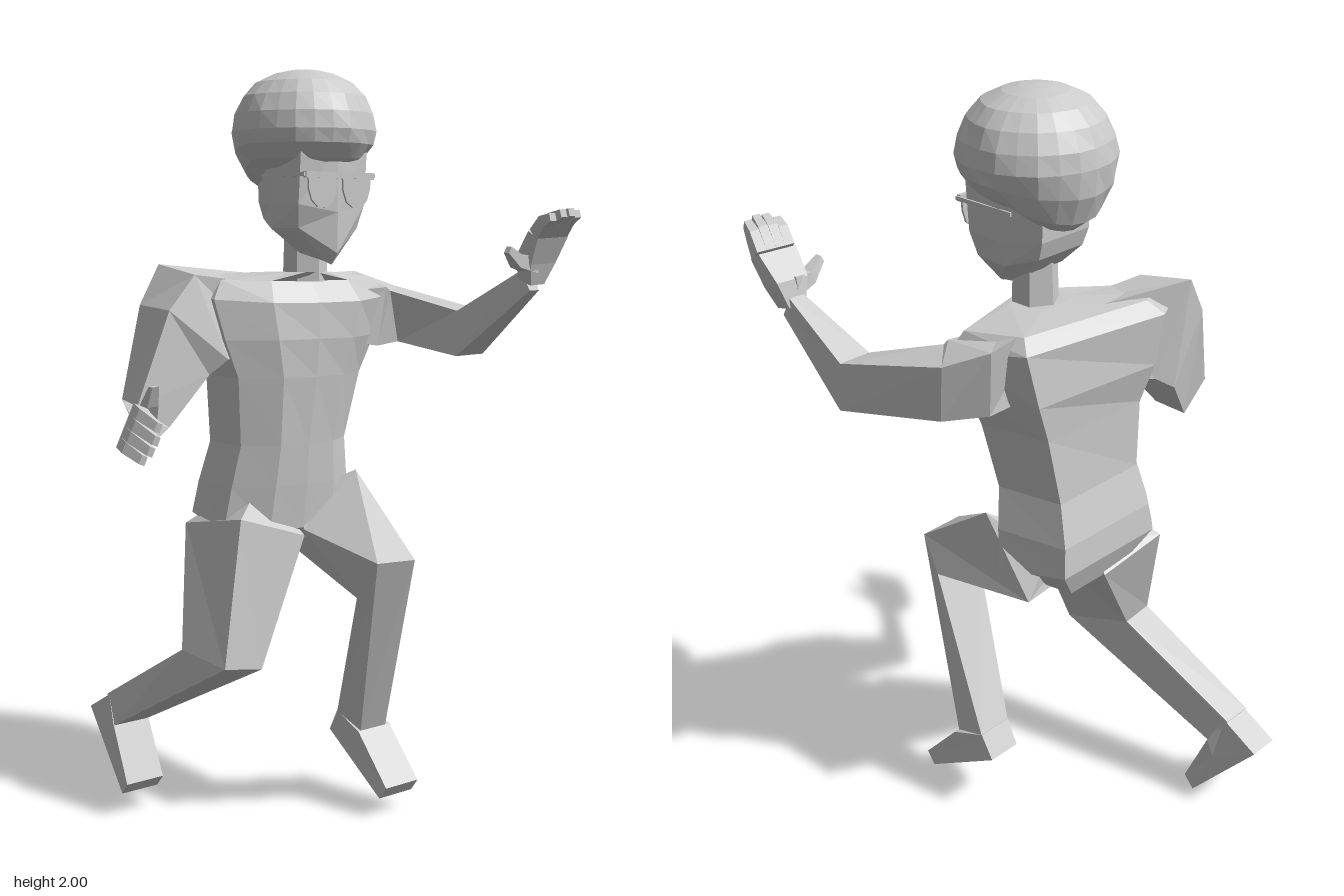
import * as THREE from 'three';

const grey = new THREE.MeshStandardMaterial({ color: 0xcccccc, flatShading: true });

function mesh(name, geometry) {
  const m = new THREE.Mesh(geometry, grey);
  m.name = name;
  return m;
}

// Closed skin through cross-sections of equal point count, always facing outward.
function loft(name, rings) {
  const n = rings[0].length, pos = rings.flat(2), idx = [];
  rings.slice(1).forEach((_, r) => {
    for (let i = 0; i < n; i++) {
      const a = r * n + i, b = r * n + (i + 1) % n;
      idx.push(a, b, b + n, a, b + n, a + n);
    }
  });
  [0, rings.length - 1].forEach((r, end) => {
    const c = pos.length / 3;
    for (let k = 0; k < 3; k++) pos.push(rings[r].reduce((s, p) => s + p[k], 0) / n);
    for (let i = 0; i < n; i++) {
      const a = r * n + i, b = r * n + (i + 1) % n;
      idx.push(c, end ? a : b, end ? b : a);
    }
  });
  const v = i => new THREE.Vector3().fromArray(pos, i * 3);
  let volume = 0;
  for (let i = 0; i < idx.length; i += 3) volume += v(idx[i]).dot(v(idx[i + 1]).cross(v(idx[i + 2])));
  if (volume < 0) idx.reverse();
  const g = new THREE.BufferGeometry();
  g.setAttribute('position', new THREE.Float32BufferAttribute(pos, 3));
  g.setIndex(idx);
  g.computeVertexNormals();
  return mesh(name, g);
}

// Square-section bar along a path; side gives the direction of its width.
function bar(name, path, side, widths, thick) {
  const P = path.map(p => new THREE.Vector3(...p));
  return loft(name, P.map((p, i) => {
    const dir = P[Math.min(i + 1, P.length - 1)].clone().sub(P[Math.max(i - 1, 0)]);
    const s = new THREE.Vector3(...side).normalize();
    const n = s.clone().cross(dir).normalize();
    return [[1, 1], [-1, 1], [-1, -1], [1, -1]].map(([a, b]) =>
      p.clone().addScaledVector(s, a * widths[i]).addScaledVector(n, b * thick[i]).toArray());
  }));
}

const add = (a, b, k = 1) => a.map((v, i) => v + b[i] * k);

// Palm, four bent fingers and a thumb.
function hand(name, palm, side, bend, curl, thumb) {
  const g = new THREE.Group();
  g.name = name;
  g.add(bar('palm', palm, side, [0.025, 0.046, 0.056], [0.023, 0.028, 0.019]));
  for (let i = 0; i < 4; i++) {
    const base = add(palm[2], side, 0.042 - 0.028 * i);
    const reach = [0.9, 1, 0.97, 0.82][i];
    const mid = add(base, bend, reach);
    g.add(bar('finger', [base, mid, add(mid, curl, reach)], side, [0.014, 0.0135, 0.011], [0.018, 0.016, 0.01]));
  }
  g.add(bar('thumb', thumb, [0, 0, 1], [0.026, 0.018, 0.009], [0.026, 0.016, 0.009]));
  return g;
}

// Foot: a side profile of [z, y, x0, x1] points, x0 and x1 giving its width there.
const foot = (name, profile) => loft(name, [2, 3].map(k => profile.map(p => [p[k], p[1], p[0]])));

export function createModel() {
  const model = new THREE.Group();
  model.name = 'figure';

  // Torso: octagonal sections [xMin, xMax, y, zBack, zFront, twist, forward slope]
  const oct = [[1, 0.45], [0.5, 0.93], [0, 1], [-0.5, 0.93], [-1, 0.45], [-1, -0.7], [-0.8, -1], [0.8, -1]];
  model.add(loft('torso', [
    [0.0, 0.24, 0.75, -0.23, -0.04, 0, 0],
    [-0.108, 0.315, 0.81, -0.26, 0.0, 0, 0.02],
    [-0.09, 0.305, 0.91, -0.255, 0.012, 0, 0],
    [-0.07, 0.285, 1.02, -0.225, 0.02, 0, 0],
    [-0.08, 0.32, 1.2, -0.22, 0.035, 0.04, 0],
    [-0.11, 0.36, 1.3, -0.235, 0.04, 0.1, 0],
    [-0.13, 0.39, 1.415, -0.235, 0.035, 0.16, 0.02],
    [-0.1, 0.36, 1.46, -0.2, 0.0, 0.16, 0.008],
    [0.06, 0.2, 1.475, -0.1, 0.02, 0, 0],
  ].map(([x0, x1, y, z0, z1, twist, slope]) => oct.map(([u, w]) => {
    const dx = u * (x1 - x0) / 2;
    return [(x0 + x1) / 2 + dx, y - slope * w, (z0 + z1) / 2 + w * (z1 - z0) / 2 + twist * dx];
  }))));

  // Arms
  model.add(loft('rightArm', [
    [[0.02, 1.27, -0.19], [0.02, 1.28, -0.06], [0.05, 1.44, -0.05], [0.05, 1.47, -0.17]],
    [[-0.1, 1.24, -0.225], [-0.1, 1.25, -0.06], [-0.17, 1.47, -0.11], [-0.18, 1.495, -0.265]],
    [[-0.16, 1.2, -0.24], [-0.14, 1.21, -0.09], [-0.25, 1.38, -0.11], [-0.25, 1.39, -0.25]],
    [[-0.27, 1.07, -0.19], [-0.26, 1.08, -0.1], [-0.35, 1.14, -0.11], [-0.34, 1.15, -0.2]],
    [[-0.43, 1.065, 0.04], [-0.42, 1.07, 0.07], [-0.43, 1.12, 0.07], [-0.455, 1.12, 0.04]],
  ]));
  model.add(loft('leftArm', [
    [[0.24, 1.29, -0.14], [0.24, 1.29, -0.02], [0.21, 1.42, 0.0], [0.21, 1.465, -0.13]],
    [[0.39, 1.28, -0.13], [0.36, 1.27, 0.005], [0.38, 1.43, 0.015], [0.43, 1.47, -0.18]],
    [[0.50, 1.29, -0.08], [0.42, 1.28, 0.02], [0.39, 1.42, 0.02], [0.50, 1.43, -0.09]],
    [[0.57, 1.25, 0.2], [0.45, 1.25, 0.22], [0.47, 1.37, 0.2], [0.56, 1.37, 0.2]],
    [[0.55, 1.43, 0.42], [0.505, 1.43, 0.43], [0.505, 1.48, 0.395], [0.55, 1.48, 0.39]],
  ]));
  model.add(hand('rightHand',
    [[-0.435, 1.09, 0.05], [-0.485, 1.108, 0.09], [-0.53, 1.125, 0.15]], [0.38, 0.92, 0.1],
    [-0.025, -0.005, 0.06], [0.008, -0.025, 0.06],
    [[-0.465, 1.12, 0.09], [-0.47, 1.17, 0.13], [-0.475, 1.22, 0.16]]));
  model.add(hand('leftHand',
    [[0.53, 1.45, 0.41], [0.53, 1.51, 0.425], [0.53, 1.575, 0.465]], [1, 0.05, 0],
    [-0.02, 0.04, 0.05], [-0.025, 0.013, 0.055],
    [[0.52, 1.5, 0.42], [0.46, 1.505, 0.425], [0.41, 1.535, 0.44]]));

  // Legs: sections run outer front, inner front, inner back, outer back
  model.add(loft('leftLeg', [
    [[0.24, 0.9, -0.05], [0.13, 0.83, -0.05], [0.14, 0.81, -0.15], [0.25, 0.85, -0.18]],
    [[0.292, 0.93, -0.005], [0.1, 0.785, 0.01], [0.13, 0.75, -0.16], [0.33, 0.76, -0.19]],
    [[0.25, 0.73, 0.285], [0.125, 0.735, 0.28], [0.15, 0.62, 0.17], [0.3, 0.67, 0.18]],
    [[0.33, 0.21, 0.085], [0.24, 0.21, 0.085], [0.235, 0.245, -0.01], [0.335, 0.245, -0.01]],
  ]));
  model.add(loft('rightLeg', [
    [[-0.03, 0.88, -0.05], [0.08, 0.83, -0.05], [0.08, 0.82, -0.18], [-0.03, 0.86, -0.18]],
    [[-0.105, 0.835, 0.0], [0.1, 0.77, 0.01], [0.1, 0.755, -0.24], [-0.11, 0.79, -0.25]],
    [[-0.18, 0.45, 0.03], [-0.06, 0.43, 0.03], [-0.1, 0.47, -0.15], [-0.2, 0.47, -0.14]],
    [[-0.24, 0.19, -0.43], [-0.13, 0.19, -0.43], [-0.145, 0.27, -0.48], [-0.23, 0.27, -0.48]],
  ]));
  model.add(foot('leftFoot', [[-0.01, 0.25, 0.235, 0.335], [-0.048, 0.185, 0.24, 0.335],
    [0.18, 0.05, 0.228, 0.345], [0.205, 0.085, 0.23, 0.345], [0.088, 0.215, 0.23, 0.345]]));
  model.add(foot('rightFoot', [[-0.47, 0.27, -0.23, -0.145], [-0.575, 0.21, -0.23, -0.145],
    [-0.39, 0.0, -0.24, -0.122], [-0.36, 0.035, -0.242, -0.122], [-0.43, 0.195, -0.242, -0.125]]));

  // Head parts are built around the head's own middle line
  const head = new THREE.Group();
  head.name = 'head';
  head.position.x = 0.135;
  model.add(head);

  // Face: half-sections from front centre to back, mirrored
  head.add(loft('face', [
    [[0, 1.495, 0.075], [0.018, 1.505, 0.065], [0.045, 1.525, 0.0], [0.045, 1.57, -0.08]],
    [[0, 1.525, 0.098], [0.098, 1.59, 0.06], [0.112, 1.59, -0.04], [0.075, 1.615, -0.12]],
    [[0, 1.63, 0.1], [0.11, 1.65, 0.075], [0.118, 1.65, -0.03], [0.08, 1.66, -0.135]],
    [[0, 1.8, 0.1], [0.11, 1.8, 0.085], [0.118, 1.8, -0.04], [0.08, 1.8, -0.14]],
  ].map(h => [...h, ...h.slice(1).reverse().map(([x, y, z]) => [-x, y, z])])));

  const neck = mesh('neck', new THREE.CylinderGeometry(0.055, 0.06, 0.16, 6));
  neck.position.set(0, 1.53, -0.035);
  head.add(neck);

  // Rounded hair, widest low down and hanging at the nape
  const hairProfile = [[0.001, 1.76], [0.115, 1.74], [0.155, 1.768], [0.183, 1.805], [0.191, 1.84], [0.183, 1.885],
    [0.162, 1.93], [0.128, 1.965], [0.08, 1.988], [0.04, 1.997], [0.001, 2]];
  const hair = new THREE.LatheGeometry(hairProfile.map(p => new THREE.Vector2(...p)), 24);
  const hp = hair.attributes.position;
  for (let i = 0; i < hp.count; i++) {
    const x = hp.getX(i), y = hp.getY(i), z = hp.getZ(i);
    const drop = Math.max(0, 1.83 - y) * Math.max(0, -z - 0.03) * 8;
    const lump = 1 + 0.016 * Math.sin(x * 45 + y * 30) * Math.sin(z * 40 - y * 25);
    hp.setXYZ(i, x * lump, y - drop, z * lump - 0.042);
  }
  hair.computeVertexNormals();
  head.add(mesh('hair', hair));

  // Glasses: teardrop lenses, brow bar and temples
  const glasses = new THREE.Group();
  glasses.name = 'glasses';
  head.add(glasses);
  const box = (name, w, h, d, x, y, z) => {
    const b = mesh(name, new THREE.BoxGeometry(w, h, d));
    b.position.set(x, y, z);
    glasses.add(b);
  };
  box('browBar', 0.226, 0.016, 0.012, 0, 1.724, 0.104);
  for (const s of [-1, 1]) {
    const outline = [[0.01, 1.72], [0.012, 1.685], [0.024, 1.655], [0.045, 1.642], [0.072, 1.643], [0.092, 1.66],
      [0.102, 1.69], [0.104, 1.72]];
    const shape = new THREE.Shape(outline.map(([x, y]) => new THREE.Vector2(s * x, y)));
    const lens = mesh('lens', new THREE.ExtrudeGeometry(shape, { depth: 0.006, bevelEnabled: false }));
    lens.position.z = 0.102;
    glasses.add(lens);
    box('temple', 0.005, 0.01, 0.18, s * 0.117, 1.725, 0.018);
  }
  return model;
}
